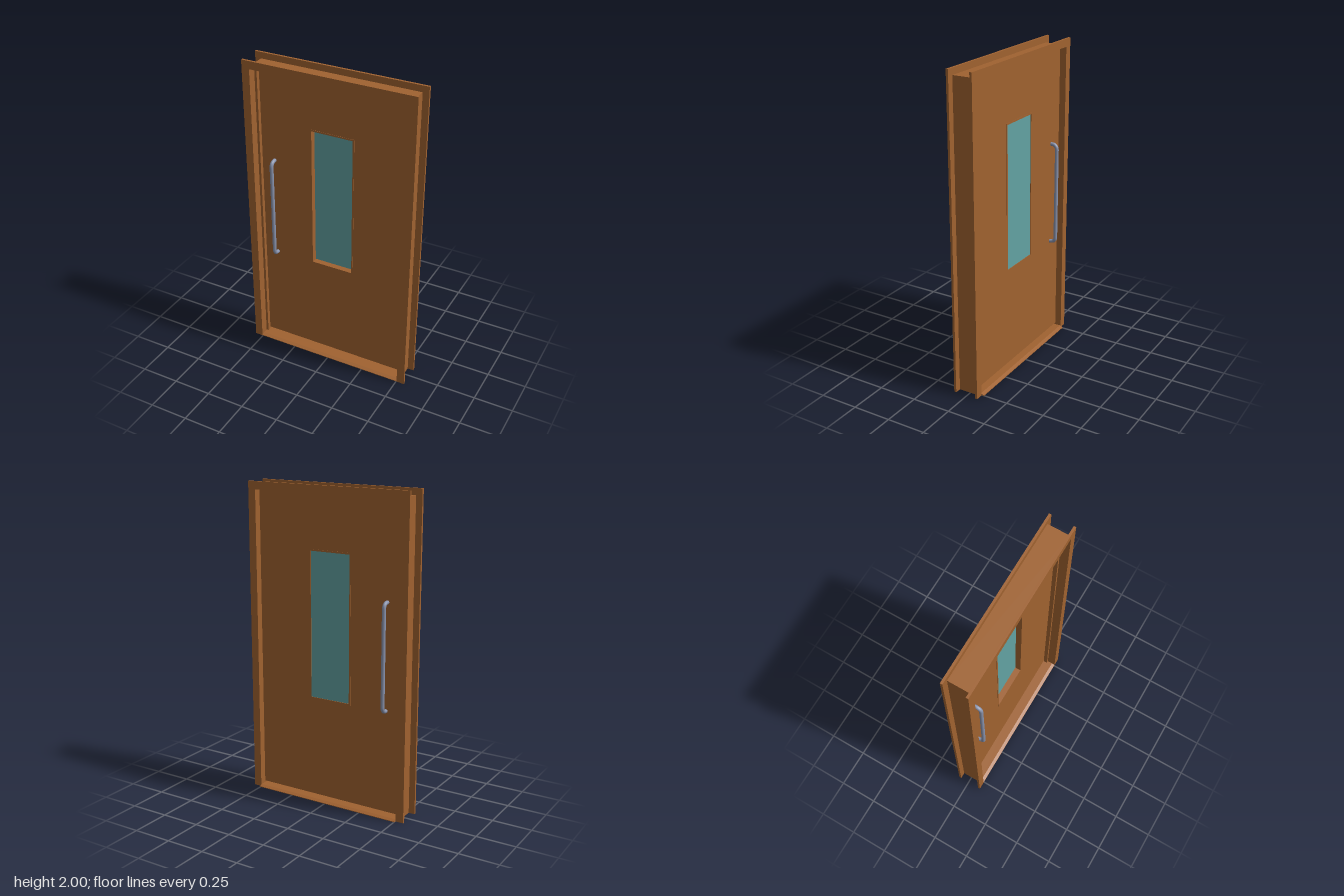
import * as THREE from 'three';

export function createModel() {
  const model = new THREE.Group();
  model.name = 'door';
  const mat = (name, color) => {
    const m = new THREE.MeshStandardMaterial({ color });
    m.name = name;
    return m;
  };
  const wood = mat('wood', 0xa06230);
  const glass = mat('glass', 0x63a2a2);
  const metal = mat('metal', 0x8a94ae);

  const add = (name, geometry, material) => {
    const mesh = new THREE.Mesh(geometry, material);
    mesh.name = name;
    model.add(mesh);
    return mesh;
  };
  const rectangle = (Type, x0, x1, y0, y1) => new Type([
    [x0, y0], [x1, y0], [x1, y1], [x0, y1],
  ].map(([x, y]) => new THREE.Vector2(x, y)));
  const extrude = (shape, z0, z1) => new THREE.ExtrudeGeometry(shape, {
    depth: z1 - z0, bevelEnabled: false,
  }).translate(0, 0, z0);

  // Three-sided surround, open at the floor
  const surround = (name, outerX, outerY, innerX, innerY, z0, z1) => {
    const shape = new THREE.Shape([
      [-outerX, 0], [-innerX, 0], [-innerX, innerY], [innerX, innerY],
      [innerX, 0], [outerX, 0], [outerX, outerY], [-outerX, outerY],
    ].map(([x, y]) => new THREE.Vector2(x, y)));
    add(name, extrude(shape, z0, z1), wood);
  };
  surround('frontArchitrave', 0.555, 2, 0.504, 1.95, 0.076, 0.091);
  surround('backArchitrave', 0.555, 2, 0.504, 1.95, -0.075, -0.06);
  surround('jamb', 0.515, 1.96, 0.504, 1.95, -0.06, 0.076);
  surround('doorStop', 0.504, 1.95, 0.489, 1.935, 0.01, 0.036);

  // Threshold with a sloped back nose
  const sill = new THREE.Shape([
    [-0.091, 0], [0.091, 0], [0.091, 0.004], [0.07, 0.012], [-0.07, 0.012], [-0.091, 0.004],
  ].map(([z, y]) => new THREE.Vector2(-z, y)));
  add('threshold', extrude(sill, -0.504, 0.504).rotateY(Math.PI / 2), wood);

  // Door leaf with a window opening
  const win = { x0: -0.154, x1: 0.139, y0: 0.668, y1: 1.612 };
  const doorBack = -0.034, doorFront = 0.01;
  const leaf = rectangle(THREE.Shape, -0.501, 0.501, 0.026, 1.947);
  leaf.holes.push(rectangle(THREE.Path, win.x0, win.x1, win.y0, win.y1));
  add('doorLeaf', extrude(leaf, doorBack, doorFront), wood);

  // Window frame and pane
  const rim = 0.01;
  const frame = rectangle(THREE.Shape, win.x0, win.x1, win.y0, win.y1);
  frame.holes.push(rectangle(THREE.Path,
    win.x0 + rim, win.x1 - rim, win.y0 + rim, win.y1 - rim));
  add('windowFrame', extrude(frame, doorBack - 0.002, doorFront + 0.002), wood);
  const pane = rectangle(THREE.Shape, win.x0 + rim, win.x1 - rim, win.y0 + rim, win.y1 - rim);
  add('windowPane', extrude(pane, -0.032, -0.026), glass);

  // Bowed pull handle on each face
  const handle = (name, faceZ, side) => {
    const x = -0.402, low = 0.68, high = 1.346, reach = 0.042, bend = 0.036;
    const point = (y, out) => new THREE.Vector3(x, y, faceZ + side * out);
    const path = new THREE.CurvePath();
    path.add(new THREE.LineCurve3(point(low, 0), point(low, reach - bend)));
    path.add(new THREE.QuadraticBezierCurve3(
      point(low, reach - bend), point(low, reach), point(low + bend, reach)));
    path.add(new THREE.LineCurve3(point(low + bend, reach), point(high - bend, reach)));
    path.add(new THREE.QuadraticBezierCurve3(
      point(high - bend, reach), point(high, reach), point(high, reach - bend)));
    path.add(new THREE.LineCurve3(point(high, reach - bend), point(high, 0)));
    add(name, new THREE.TubeGeometry(path, 120, 0.012, 12), metal);
  };
  handle('frontHandle', doorFront, 1);
  handle('backHandle', doorBack, -1);

  return model;
}
